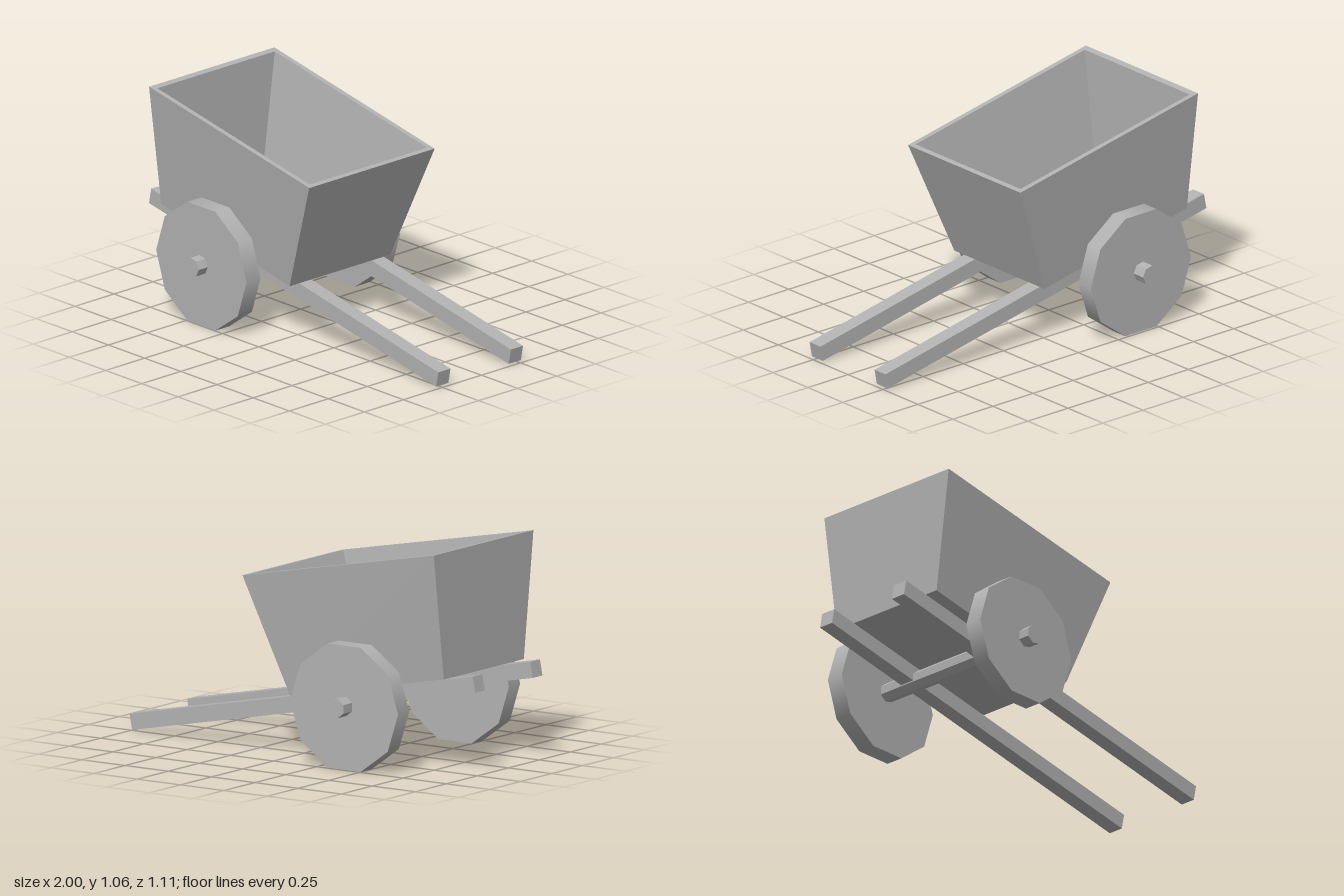
import * as THREE from 'three';

const wood = new THREE.MeshStandardMaterial({ color: 0xb2b2b2 });
wood.name = 'plain grey';
const flatWood = wood; // single colour for the whole cart

function add(group, geometry, name, x = 0, y = 0, z = 0) {
  const mesh = new THREE.Mesh(geometry, flatWood);
  mesh.name = name;
  mesh.position.set(x, y, z);
  group.add(mesh);
  return mesh;
}

// Four corners of a sloping rectangle, counterclockwise from above
function ring(x0, y0, x1, y1, zBack, zFront) {
  return [[x1, y1, zFront], [x1, y1, zBack], [x0, y0, zBack], [x0, y0, zFront]];
}

// Open tub: outer walls, rim, inner walls, floor and underside
function tubGeometry() {
  const rings = [
    ring(-0.845, 0.452, 0.042, 0.275, -0.305, 0.341), // outer bottom
    ring(-0.845, 1.057, 0.262, 0.843, -0.385, 0.419), // outer rim
    ring(-0.815, 1.051, 0.238, 0.848, -0.359, 0.393), // inner rim
    ring(-0.815, 0.456, 0.02, 0.289, -0.281, 0.312), // inner floor
  ];
  const points = [];
  const quad = (a, b, c, d) => points.push(...a, ...b, ...c, ...a, ...c, ...d);
  for (let r = 0; r < 3; r++) {
    for (let i = 0; i < 4; i++) {
      const j = (i + 1) % 4;
      quad(rings[r][i], rings[r][j], rings[r + 1][j], rings[r + 1][i]);
    }
  }
  quad(...rings[3]);
  quad(...rings[0].slice().reverse());
  const geometry = new THREE.BufferGeometry();
  geometry.setAttribute('position', new THREE.Float32BufferAttribute(points, 3));
  geometry.computeVertexNormals();
  return geometry;
}

// Prism along z with a corner pointing to +x
function disc(radius, width, sides) {
  return new THREE.CylinderGeometry(radius, radius, width, sides, 1, false, Math.PI / 2)
    .rotateX(Math.PI / 2);
}

export function createModel() {
  const cart = new THREE.Group();
  cart.name = 'handcart';
  const axleX = -0.4, axleY = 0.3;

  add(cart, tubGeometry(), 'tub');

  // Two sloping shafts that carry the tub and end in the handles
  for (const [name, z] of [['leftShaft', 0.237], ['rightShaft', -0.228]]) {
    add(cart, new THREE.BoxGeometry(2.023, 0.077, 0.078), name, 0, 0.241, z)
      .rotation.z = -0.196;
  }

  // Seven-sided axle with flat faces
  const axle = disc(0.047, 1.11, 7).toNonIndexed();
  axle.computeVertexNormals();
  add(cart, axle, 'axle', axleX - 0.002, 0.304, 0);

  // Ten-sided solid wheels
  for (const [name, z] of [['frontWheel', 0.452], ['backWheel', -0.443]]) {
    add(cart, disc(0.312, 0.09, 10), name, axleX, axleY - 0.003, z);
  }
  return cart;
}
